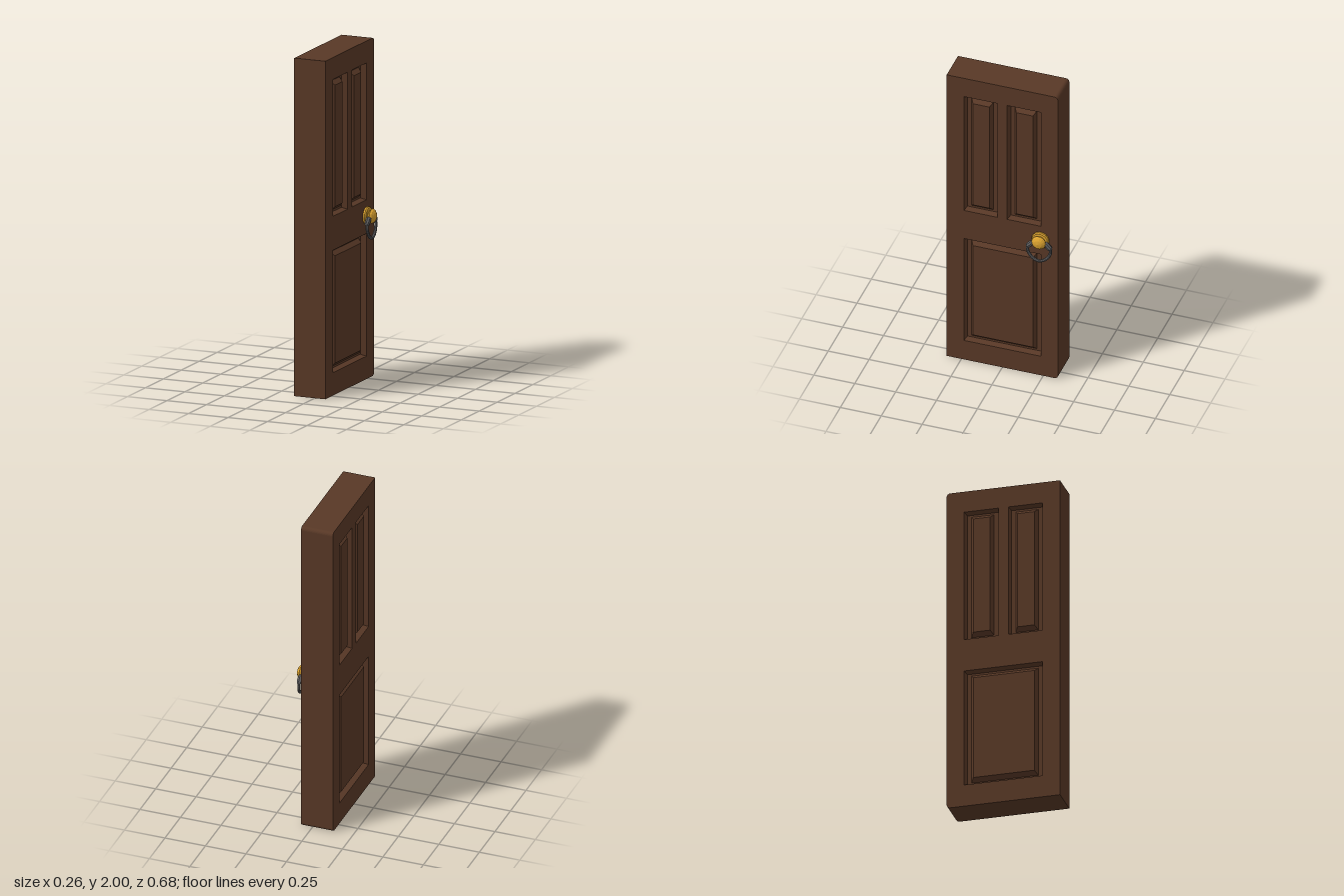
import * as THREE from 'three';

const wood = new THREE.MeshStandardMaterial({ color: 0x583826 });
const gold = new THREE.MeshStandardMaterial({ color: 0xdba22f, flatShading: true });
const iron = new THREE.MeshStandardMaterial({ color: 0x5c5c5e, flatShading: true });

const X0 = -0.13, X1 = 0.067, HALF = (X1 - X0) / 2;

// Panel openings: [zMin, zMax, yMin, yMax]
const OPENINGS = [
  [0.03, 0.235, 1.06, 1.87],
  [-0.235, -0.03, 1.06, 1.87],
  [-0.235, 0.235, 0.135, 0.86],
];

function add(parent, name, geometry, material) {
  const mesh = new THREE.Mesh(geometry, material);
  mesh.name = name;
  parent.add(mesh);
  return mesh;
}

// Door slab with one pair of softened corners and three openings
function slabGeometry() {
  const r = 0.022, w = 0.34, h = 2;
  const s = new THREE.Shape();
  s.moveTo(w, 0);
  s.lineTo(w, h);
  s.lineTo(-w + r, h);
  s.absarc(-w + r, h - r, r, Math.PI / 2, Math.PI, false);
  s.lineTo(-w, r);
  s.absarc(-w + r, r, r, Math.PI, Math.PI * 1.5, false);
  s.closePath();
  for (const [z0, z1, y0, y1] of OPENINGS) {
    const hole = new THREE.Path();
    hole.moveTo(z0, y0).lineTo(z0, y1).lineTo(z1, y1).lineTo(z1, y0).closePath();
    s.holes.push(hole);
  }
  const g = new THREE.ExtrudeGeometry(s, { depth: X1 - X0, bevelEnabled: false, curveSegments: 5 });
  return g.rotateY(-Math.PI / 2).translate(X1, 0, 0);
}

// Recess with a raised, bevelled field, facing +x; x is measured from the slab centre
function panelGeometry([z0, z1, y0, y1]) {
  const steps = [[0, 0, 0], [0.01, 0.01, 0.035], [0.035, 0.022, 0.035], [0.052, 0.045, 0.01]];
  const loops = steps.map(([a, b, d]) => {
    const x = HALF - d;
    return [[x, y0 + b, z1 - a], [x, y0 + b, z0 + a], [x, y1 - b, z0 + a], [x, y1 - b, z1 - a]];
  });
  const pos = [];
  const quad = (a, b, c, d) => pos.push(...a, ...b, ...c, ...a, ...c, ...d);
  for (let k = 0; k < loops.length - 1; k++) {
    for (let i = 0; i < 4; i++) {
      const j = (i + 1) % 4;
      quad(loops[k][i], loops[k][j], loops[k + 1][j], loops[k + 1][i]);
    }
  }
  quad(...loops[loops.length - 1]);
  const g = new THREE.BufferGeometry();
  g.setAttribute('position', new THREE.Float32BufferAttribute(pos, 3));
  g.computeVertexNormals();
  return g;
}

export function createModel() {
  const model = new THREE.Group();
  model.name = 'door';
  add(model, 'doorSlab', slabGeometry(), wood);

  // Panels on both faces
  for (const side of ['right', 'left']) {
    const panels = new THREE.Group();
    panels.name = side + 'Panels';
    OPENINGS.forEach((o, i) => add(panels, 'panel' + (i + 1), panelGeometry(o), wood));
    panels.position.x = (X0 + X1) / 2;
    if (side === 'left') panels.rotation.y = Math.PI;
    model.add(panels);
  }

  // Rose plate and knob, turned about the x axis: [radius, distance from door]
  const profile = [
    [0, -0.002], [0.053, -0.002], [0.054, 0.011], [0.048, 0.018], [0.034, 0.019],
    [0.03, 0.023], [0.036, 0.028], [0.044, 0.036], [0.038, 0.047], [0.024, 0.056], [0, 0.061],
  ].map(([r, d]) => new THREE.Vector2(r, d));
  const knob = add(model, 'knob', new THREE.LatheGeometry(profile, 14), gold);
  knob.rotation.z = -Math.PI / 2;
  knob.position.set(X1, 0.967, -0.235);

  // Hanging ring
  const handle = new THREE.Group();
  handle.name = 'ringHandle';
  const path = new THREE.CatmullRomCurve3([
    [0.093, 0.957, -0.28], [0.093, 0.935, -0.3], [0.095, 0.9, -0.303], [0.099, 0.857, -0.277],
    [0.101, 0.837, -0.235], [0.102, 0.857, -0.193], [0.102, 0.9, -0.167],
    [0.1, 0.935, -0.17], [0.098, 0.957, -0.19],
  ].map(p => new THREE.Vector3(...p)));
  add(handle, 'ring', new THREE.TubeGeometry(path, 24, 0.0095, 8, false), iron);

  // Thick lugs where the ring meets the knob
  for (const [name, x, dir] of [['backLug', 0.093, -1], ['frontLug', 0.1, 1]]) {
    const lug = add(handle, name, new THREE.CapsuleGeometry(0.0165, 0.026, 3, 8), iron);
    lug.position.set(x, 0.946, -0.235 + dir * 0.053);
    lug.rotation.x = -dir * 0.75;
  }
  model.add(handle);
  return model;
}
